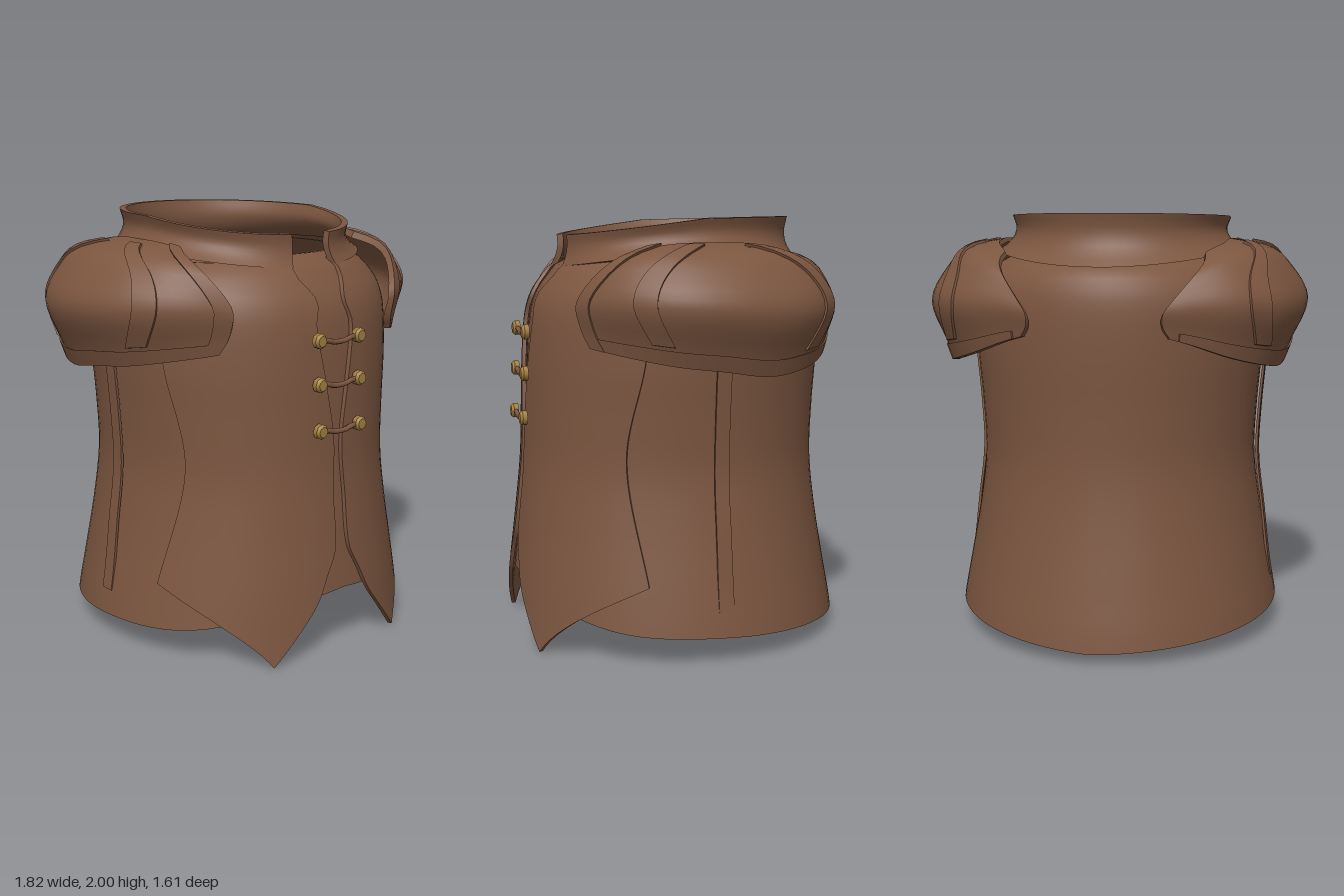
import * as THREE from 'three';
import { mergeGeometries, mergeVertices } from 'three/addons/utils/BufferGeometryUtils.js';

const RAD = Math.PI / 180, FRONT_POWER = 2.12, BACK_POWER = 2;
const { lerp, smoothstep } = THREE.MathUtils;

// Smooth interpolation through rows of [key, value, value...]
function track(rows) {
  const slope = (i, c) => {
    const a = rows[Math.max(i - 1, 0)], b = rows[Math.min(i + 1, rows.length - 1)];
    return (b[c] - a[c]) / (b[0] - a[0]);
  };
  return (k, c = 1) => {
    k = Math.min(Math.max(k, rows[0][0]), rows[rows.length - 1][0]);
    let i = 0;
    while (i < rows.length - 2 && k > rows[i + 1][0]) i++;
    const h = rows[i + 1][0] - rows[i][0], t = (k - rows[i][0]) / h, t2 = t * t, t3 = t2 * t;
    return (2 * t3 - 3 * t2 + 1) * rows[i][c] + (t3 - 2 * t2 + t) * h * slope(i, c)
      + (3 * t2 - 2 * t3) * rows[i + 1][c] + (t3 - t2) * h * slope(i + 1, c);
  };
}

// Smooth grid over p(a, b)
function sheet(p, na, nb) {
  const pos = [], idx = [];
  for (let j = 0; j <= nb; j++) for (let i = 0; i <= na; i++) pos.push(...p(i / na, j / nb));
  for (let j = 0; j < nb; j++) for (let i = 0; i < na; i++) {
    const a = j * (na + 1) + i, c = a + na + 1;
    idx.push(a, a + 1, c, a + 1, c + 1, c);
  }
  let g = new THREE.BufferGeometry();
  g.setAttribute('position', new THREE.Float32BufferAttribute(pos, 3));
  g.setIndex(idx);
  g = mergeVertices(g, 1e-5);
  g.computeVertexNormals();
  return g;
}

// Cloth of thickness t: f(u, v, offset), u runs round, v runs up
function shell(f, nu, nv, t, closed = false) {
  const parts = [
    sheet((a, b) => f(a, b, t), nu, nv),
    sheet((a, b) => f(1 - a, b, 0), nu, nv),
    sheet((a, b) => f(a, 1, t * (1 - b)), nu, 1),
    sheet((a, b) => f(a, 0, t * b), nu, 1),
  ];
  if (!closed) parts.push(
    sheet((a, b) => f(1, a, t * b), nv, 1),
    sheet((a, b) => f(0, a, t * (1 - b)), nv, 1));
  return mergeGeometries(parts);
}

const mirror = (f) => (u, v, o) => { const p = f(1 - u, v, o); return [-p[0], p[1], p[2]]; };

// Rounded oval; angle 0 faces the front, which is slightly squarer than the back
function oval(angle, hx, zf, zb) {
  const s = Math.sin(angle), c = Math.cos(angle), e = 2 / (c > 0 ? FRONT_POWER : BACK_POWER);
  return [Math.sign(s) * hx * Math.abs(s) ** e, (c > 0 ? zf : -zb) * Math.abs(c) ** e];
}

// Torso: height, half width, front depth, back depth
const torso = track([
  [0, .79, .805, .805], [.14, .77, .79, .785], [.3, .74, .775, .755], [.6, .685, .74, .705],
  [.85, .655, .715, .68], [1.1, .665, .705, .685], [1.35, .685, .695, .7], [1.55, .685, .675, .705],
  [1.65, .665, .64, .695], [1.72, .62, .59, .67], [1.78, .55, .54, .6], [1.815, .485, .465, .5]]);
function onTorso(angle, y, o) {
  const [x, z] = oval(angle, torso(y, 1) + o, torso(y, 2) + o, torso(y, 3) + o);
  return [x, y, z];
}
const hem = track([[0, .3], [20, .27], [45, .185], [63, .145], [90, .125], [180, .05]]);
const bodyCloth = (u, v, o) => {
  const deg = u * 360;
  return onTorso(deg * RAD, lerp(hem(Math.min(deg, 360 - deg)), 1.815, v), o - .01);
};

// Front panels with pointed tails
const innerX = track([[0, .372], [.13, .262], [.26, .158], [.38, .098], [.5, .042], [.75, .034], [1, .024],
  [1.25, .062], [1.52, .105], [1.63, .08], [1.74, .13], [1.84, .1]]);
const outerZ = track([[.35, .3], [.92, .37], [1.35, .3], [1.8, .25]]);
const panel = (u, v, o) => {
  const y = lerp(u * .36, 1.795, v);
  const a = Math.asin((innerX(y) / torso(y, 1)) ** (FRONT_POWER / 2));
  const b = Math.acos((outerZ(y) / torso(y, 2)) ** (FRONT_POWER / 2));
  return onTorso(lerp(a, b, u), y, o + .014);
};

// Side seam strip standing off the torso at the waist
const seam = (u, v, o) => {
  const y = lerp(.24, 1.36, v);
  return onTorso(lerp(89.7, 95, u) * RAD, y, o + lerp(.003, .024, smoothstep(y, .24, .65)));
};

// Standing collar: height fraction, half width, front, back
const collarShape = track([[0, .565, .55, .615], [.3, .51, .53, .55], [.65, .478, .52, .525], [1, .495, .522, .538]]);
const collar = (u, v, o) => {
  const [x, z] = oval(lerp(11.5, 348.5, u) * RAD, collarShape(v, 1) + o, collarShape(v, 2) + o, collarShape(v, 3) + o);
  const top = 1.985 - (z > 0 ? .135 : .026) * z;
  return [x, lerp(1.765 + .18 * x * x, top, v), z];
};

// Puffed shoulder cap: plan angle, outer radius, inner radius, top, bottom
const capPlan = track([
  [41, .765, .66, 1.78, 1.43], [60, .85, .61, 1.85, 1.39], [75, .895, .57, 1.875, 1.355], [90, .91, .55, 1.88, 1.33],
  [105, .915, .56, 1.88, 1.3], [118, .91, .6, 1.865, 1.32], [132, .865, .63, 1.83, 1.365], [146, .79, .66, 1.75, 1.43],
  [157, .75, .68, 1.67, 1.47]]);
const capProfile = track([[0, .3, 0], [.2, .2, .16], [.45, 0, .5], [.7, .26, .8], [.85, .53, .94], [1, 1, 1]]);
function onCap(deg, s, o) {
  const R = capPlan(deg, 1), r0 = capPlan(deg, 2);
  const r = R - (R - r0) * capProfile(s, 1) + o * (1 - s * .6);
  const y = lerp(capPlan(deg, 4), capPlan(deg, 3), capProfile(s, 2)) + o * s * .8;
  return [r * Math.sin(deg * RAD), y, r * Math.cos(deg * RAD)];
}
// The cap's front and back edges draw together toward the collar
const capStart = track([[0, 45], [.3, 41], [.5, 41], [.75, 49], [1, 63]]);
const capEnd = track([[0, 153], [.3, 156], [.5, 155], [.75, 147], [1, 133]]);
const cap = (u, v, o) => onCap(lerp(capStart(v), capEnd(v), u), v, o - .025);
const cuff = (u, v, o) => onCap(lerp(46, 150, u), v * .17, o - .004);
const capEdge = (u, v, o) => onCap(capStart(v) + 6 * u, v, o - .004);

// Curved raised bands on each cap
const bandPath = track([[.2, 71, 121], [.45, 66, 126], [.7, 70, 122], [.93, 83, 107]]);
const band = (c, width) => (u, v, o) => {
  const s = lerp(.2, .93, v);
  return onCap(bandPath(s, c) + (u - .5) * width, s, o - .004);
};

export function createModel() {
  const group = new THREE.Group();
  group.name = 'vest';
  const leather = new THREE.MeshStandardMaterial({ color: 0x7c5640 });
  leather.name = 'brown leather';
  const brass = new THREE.MeshStandardMaterial({ color: 0xa37f40 });
  brass.name = 'brass';
  const add = (name, geometry, material = leather) => {
    const m = new THREE.Mesh(geometry, material);
    m.name = name;
    group.add(m);
    return m;
  };

  add('body', shell(bodyCloth, 72, 36, .02, true));
  add('collar', shell(collar, 56, 8, .03)).position.x = -.008;

  // Paired parts
  const pairs = [
    ['FrontPanel', panel, 16, 48, .02],
    ['SideSeam', seam, 2, 20, .012],
    ['ShoulderCap', cap, 28, 18, .025],
    ['Cuff', cuff, 28, 3, .014],
    ['CapEdge', capEdge, 2, 16, .018],
    ['FrontBand', band(1, 7), 2, 16, .018],
    ['BackBand', band(2, 7), 2, 16, .018],
  ];
  for (const [name, f, nu, nv, t] of pairs) {
    const left = add('left' + name, shell(f, nu, nv, t));
    const right = add('right' + name, shell(mirror(f), nu, nv, t));
    if (name === 'FrontPanel') left.position.x = right.position.x = -.012;
  }

  // Clasps: two brass buttons joined by a sagging cord
  for (const [y, z] of [[1.465, .74], [1.27, .748], [1.06, .756]]) {
    for (const x of [-.138, .106]) {
      const base = new THREE.CylinderGeometry(.035, .035, .022, 8);
      const dome = new THREE.CylinderGeometry(.025, .035, .012, 8).translate(0, .017, 0);
      const button = add('button', mergeGeometries([base, dome]), brass);
      button.rotation.x = Math.PI / 2;
      button.position.set(x, y, z);
    }
    const path = new THREE.CatmullRomCurve3([[-.138, 0], [-.09, -.003], [-.05, -.013], [.018, -.013], [.058, -.003], [.106, 0]]
      .map(([x, dy]) => new THREE.Vector3(x, y + dy, z + .002)));
    add('cord', new THREE.TubeGeometry(path, 20, .012, 8));
  }
  return group;
}
